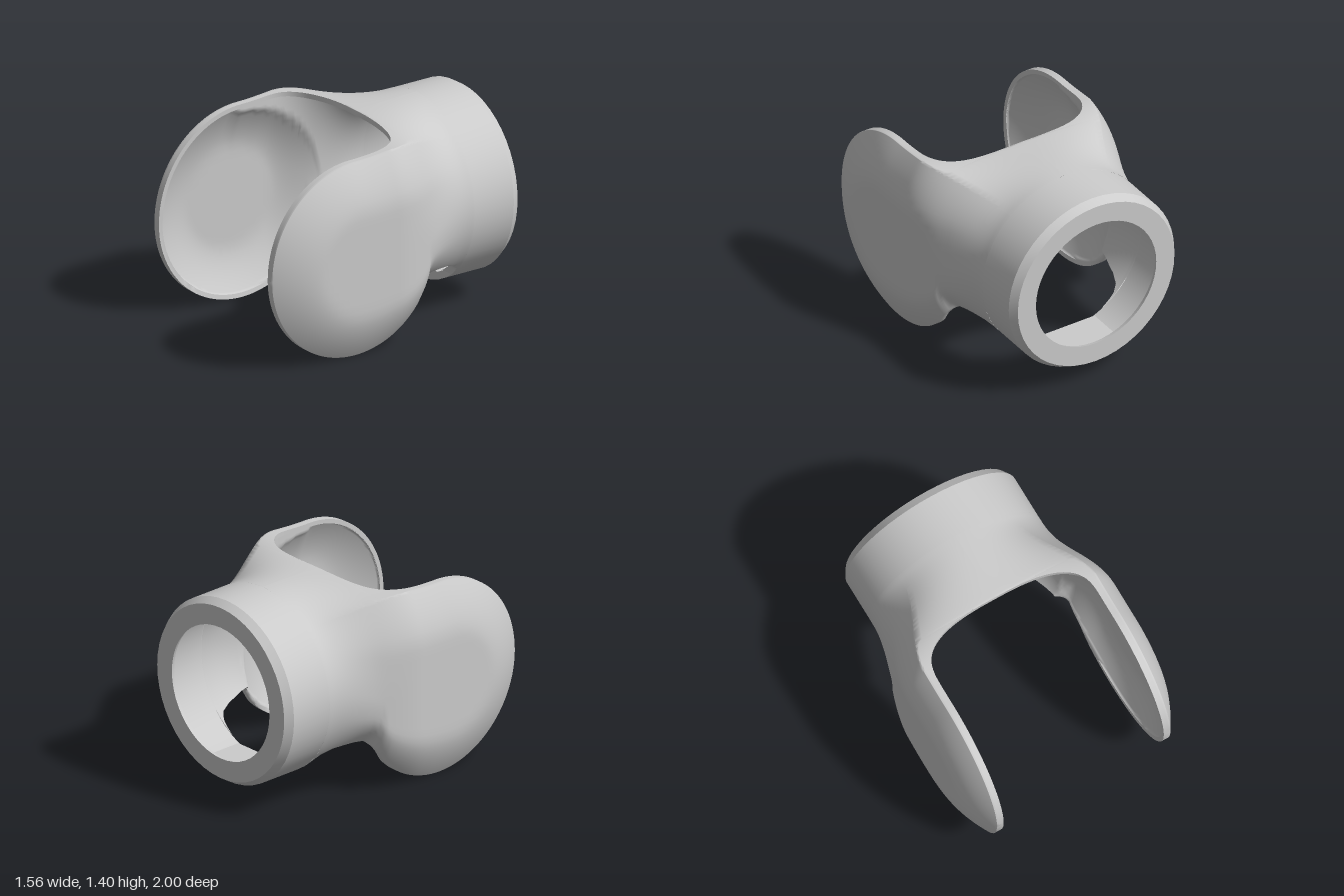
import * as THREE from 'three';
import { toCreasedNormals } from 'three/addons/utils/BufferGeometryUtils.js';

const material = new THREE.MeshStandardMaterial({ color: 0xcccccc, side: THREE.DoubleSide });
const { lerp, smoothstep } = THREE.MathUtils;

const BARREL = { x: -0.01, y: 0.76, r: 0.64, front: -0.63 };
const CHEEK = { y: 0.662, z: 0.341, r: 0.659, top: 1.348 };
const WALL = 0.055, LIP = 0.03, RIM_X = 0.6;

// Outside of a cheek: flat in the middle, curving in to the rim
const dome = (r) => 0.78 - 0.13 * Math.pow(Math.max(0, Math.abs(r) / CHEEK.r - 0.5) / 0.5, 1.65);

// Round recess in the inner face of a cheek, with a flat land around it
function dish(r) {
  const land = RIM_X + 0.005;
  return r < CHEEK.r - 0.032 ? Math.max(dome(r) - WALL, land) : land;
}

// Lower edge of the shell: notch in front of the barrel, then the cheek's circle
const notch = [[-0.63, 0.25], [-0.615, 0.32], [-0.58, 0.36], [-0.5, 0.385], [-0.35, 0.395],
  [-0.28, 0.39], [-0.24, 0.36], [-0.2, 0.3], [-0.165, 0.242]];
function bottomY(z) {
  for (let i = 1; i < notch.length; i++) {
    const [z0, y0] = notch[i - 1], [z1, y1] = notch[i];
    if (z <= z1) return lerp(y0, y1, (z - z0) / (z1 - z0));
  }
  return CHEEK.y - Math.sqrt(Math.max(0, CHEEK.r ** 2 - (z - CHEEK.z) ** 2));
}
const topY = (z) => lerp(1.382, CHEEK.top, smoothstep(z, -0.2, CHEEK.z));
const blend = (z) => smoothstep(z, -0.6, 0.08);

// One skin (outer or inner) of a half section, from the lower edge up to the upper edge
function skin({ z, edge, phi }, inner) {
  const lip = inner ? LIP : 0;
  const R = BARREL.r - (inner ? WALL : 0), kx = 0.42 * R / BARREL.r;
  const ky = BARREL.y + Math.sqrt(R * R - kx * kx);
  const s = blend(z);
  const rad = CHEEK.r - lip;
  const zz = phi > 0 ? CHEEK.z + rad * Math.sin(phi) : z;
  const low = rad * Math.cos(phi), high = (CHEEK.top - CHEEK.y - lip) * Math.cos(phi);
  const yb = bottomY(z), yt = topY(z) - lip;
  const skirt = R * smoothstep(z, -0.4, -0.2);
  const pts = [], sideN = 32, topN = 12;

  // side wall: barrel arc blending into the cheek
  for (let i = 0; i <= sideN; i++) {
    const q = Math.sin((i / sideN - 0.5) * Math.PI), f = (q + 1) / 2;
    if (phi > 0) {
      const r = Math.hypot(low * q, zz - CHEEK.z);
      pts.push([inner ? dish(r) : dome(r), CHEEK.y + q * (q > 0 ? high : low), zz]);
    } else {
      const yc = lerp(yb, ky, f);
      const arc = Math.sqrt(Math.max(0, R * R - (yc - BARREL.y) ** 2));
      const xc = yc < BARREL.y ? Math.max(arc, skirt) : arc;
      const yh = q > 0 ? lerp(CHEEK.y, yt, q) : lerp(CHEEK.y, yb + lip, -q);
      const y = lerp(yc, yh, s);
      const xh = inner ? dish(Math.hypot(y - CHEEK.y, z - CHEEK.z)) : dome(q * CHEEK.r);
      pts.push([lerp(xc, xh, s), y, zz]);
    }
  }
  // rim along the lower edge
  if (!inner) pts.unshift([pts[0][0] - 0.05 * s, pts[0][1], zz]);

  // roof: from the upper corner in to the cut-out, or to the middle
  const cornerX = pts[pts.length - 1][0], cornerY = pts[pts.length - 1][1];
  for (let i = 1; i <= topN; i++) {
    const x = lerp(cornerX, Math.min(edge, cornerX), i / topN);
    const xc = kx * x / cornerX;
    const yc = BARREL.y + Math.sqrt(R * R - xc * xc);
    pts.push([x, phi > 0 ? cornerY : lerp(yc, yt, s), zz]);
  }
  return pts;
}

// Stations from the barrel forward to the tip of the cheek
function stations() {
  const list = [];
  for (let i = 0; i < 40; i++) {
    list.push({ z: lerp(BARREL.front, -0.14, (i / 40) ** 1.3), edge: 0, phi: 0 });
  }
  for (let i = 0; i <= 24; i++) { // rounded cut-out between the arms
    const a = (1 - i / 24) * Math.PI / 2;
    list.push({
      z: 0.2 - 0.34 * Math.sin(a) ** (2 / 3),
      edge: RIM_X * Math.max(0, Math.cos(a)) ** (2 / 3), phi: 0
    });
  }
  for (let i = 1; i <= 4; i++) list.push({ z: lerp(0.2, CHEEK.z, i / 4), edge: RIM_X, phi: 0 });
  for (let i = 1; i <= 24; i++) {
    const phi = (i / 24) * Math.PI / 2;
    list.push({ z: CHEEK.z + CHEEK.r * Math.sin(phi), edge: RIM_X, phi });
  }
  return list;
}

// Loft closed wall sections into one arm; side is +1 or -1
function armGeometry(side) {
  const rows = stations().map((st) => [...skin(st, false), ...skin(st, true).reverse()]);
  const n = rows[0].length, index = [];
  const position = rows.flat().flatMap(([x, y, z]) => [x * side + BARREL.x * (1 - blend(z)), y, z]);
  for (let i = 0; i < rows.length - 1; i++) {
    for (let j = 0; j < n; j++) {
      const k = (j + 1) % n;
      const a = i * n + j, b = i * n + k, c = a + n, d = b + n;
      if (side > 0) index.push(a, b, c, b, d, c);
      else index.push(a, c, b, b, c, d);
    }
  }
  const g = new THREE.BufferGeometry();
  g.setAttribute('position', new THREE.Float32BufferAttribute(position, 3));
  g.setIndex(index);
  return toCreasedNormals(g, 1.1);
}

export function createModel() {
  const model = new THREE.Group();
  model.name = 'forkedHousing';
  const add = (name, geometry) => {
    const mesh = new THREE.Mesh(geometry, material);
    mesh.name = name;
    model.add(mesh);
    return mesh;
  };

  // arms with domed, hollow cheeks
  add('leftArm', armGeometry(1));
  add('rightArm', armGeometry(-1));

  // rear collar with chamfer and thin inner flange
  const profile = [[0.465, -1], [0.605, -1], [0.64, -0.945], [0.64, -0.63], [0.59, -0.63],
    [0.59, -0.97], [0.475, -0.97], [0.465, -1]].map(([r, z]) => new THREE.Vector2(r, z));
  const collar = new THREE.LatheGeometry(profile, 48).rotateX(Math.PI / 2);
  add('rearCollar', toCreasedNormals(collar, 0.5)).position.set(BARREL.x, BARREL.y, 0);

  // flats at the top and bottom of the bore
  for (const [name, mid, offset] of [['upperFlat', Math.PI / 2, 0.53], ['lowerFlat', -Math.PI / 2, 0.545]]) {
    const half = Math.acos(offset / 0.592);
    const segment = new THREE.Shape().absarc(0, 0, 0.592, mid - half, mid + half, false);
    segment.closePath();
    const flat = new THREE.ExtrudeGeometry(segment, { depth: 0.335, bevelEnabled: false });
    add(name, flat).position.set(BARREL.x, BARREL.y, -0.97);
  }
  return model;
}
